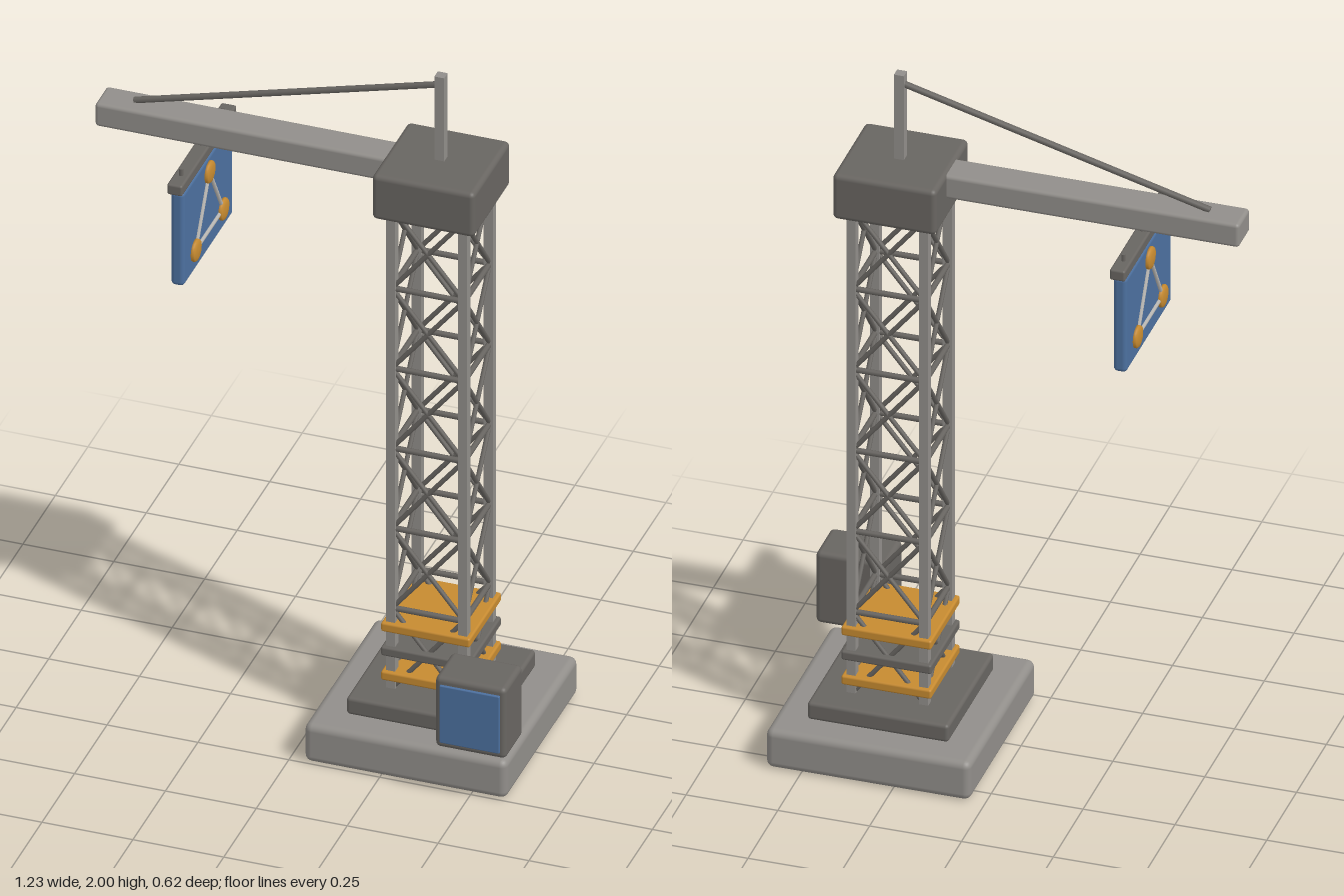
import * as THREE from 'three';
import { RoundedBoxGeometry } from 'three/addons/geometries/RoundedBoxGeometry.js';

const mat = (name, color) => {
  const m = new THREE.MeshStandardMaterial({ color });
  m.name = name;
  return m;
};

export function createModel() {
  const model = new THREE.Group();
  model.name = 'towerCrane';
  const grey = mat('concreteGrey', 0x918e8a);
  const dark = mat('darkSteel', 0x686561);
  const blue = mat('panelBlue', 0x4c709f);
  const orange = mat('safetyOrange', 0xc68a30);
  const silver = mat('lightSteel', 0xb8b6b2);

  const CX = 0.318, CZ = -0.031; // tower axis

  const add = (parent, name, geometry, material, x = 0, y = 0, z = 0) => {
    const mesh = new THREE.Mesh(geometry, material);
    mesh.name = name;
    mesh.position.set(x, y, z);
    parent.add(mesh);
    return mesh;
  };
  // Softened block given by centre and size
  const block = (parent, name, material, [x, y, z], [w, h, d], r = 0.01) =>
    add(parent, name, new RoundedBoxGeometry(w, h, d, 3, r), material, x, y, z);
  // Round bar between two points
  const rod = (parent, name, material, a, b, r, sides = 8) => {
    const from = new THREE.Vector3(...a), to = new THREE.Vector3(...b);
    const dir = to.clone().sub(from);
    const mesh = add(parent, name, new THREE.CylinderGeometry(r, r, dir.length(), sides), material);
    mesh.position.copy(from).add(to).multiplyScalar(0.5);
    mesh.quaternion.setFromUnitVectors(new THREE.Vector3(0, 1, 0), dir.normalize());
    return mesh;
  };

  // Foundation
  block(model, 'base', grey, [CX, 0.0575, CZ], [0.557, 0.115, 0.557], 0.02);
  block(model, 'plinth', dark, [CX, 0.139, CZ], [0.385, 0.052, 0.385], 0.01);

  // Lattice tower: four legs, then bracing on each of the four faces
  const tower = new THREE.Group();
  tower.name = 'tower';
  tower.position.set(CX, 0, CZ);
  model.add(tower);
  const H = 0.099, Y0 = 0.16, STEP = 0.245, PANELS = 6;
  for (const sx of [-1, 1]) for (const sz of [-1, 1])
    add(tower, 'towerLeg', new THREE.BoxGeometry(0.025, 1.48, 0.025), grey, sx * H, 0.89, sz * H);
  for (let side = 0; side < 4; side++) {
    const face = new THREE.Group();
    face.name = 'towerFace';
    face.rotation.y = side * Math.PI / 2;
    tower.add(face);
    for (let i = 0; i < PANELS; i++) {
      const lo = Y0 + i * STEP, hi = lo + STEP;
      if (i > 0) rod(face, 'crossBar', dark, [-H, lo, H], [H, lo, H], 0.008);
      rod(face, 'brace', dark, [-H, lo, H], [H, hi, H], 0.0065);
      rod(face, 'brace', dark, [H, lo, H], [-H, hi, H], 0.0065);
    }
  }

  // Bands around the foot of the tower
  [[0.205, orange], [0.28, dark], [0.354, orange]].forEach(([y, m]) =>
    block(tower, 'towerBand', m, [0, y, 0], [0.245, 0.027, 0.245], 0.006));

  // Head, jib, mast and stay
  block(model, 'towerHead', dark, [CX, 1.678, CZ], [0.282, 0.135, 0.282], 0.014);
  block(model, 'jib', grey, [-0.194, 1.705, CZ], [0.848, 0.07, 0.094], 0.01);
  add(model, 'mast', new THREE.BoxGeometry(0.027, 0.27, 0.027), grey, CX, 1.865, CZ);
  rod(model, 'stay', dark, [CX - 0.005, 1.97, CZ], [-0.525, 1.743, CZ], 0.009);

  // Hanging sign
  const sign = new THREE.Group();
  sign.name = 'hangingSign';
  sign.position.set(-0.34, 0, CZ);
  model.add(sign);
  block(sign, 'signBoard', blue, [0, 1.468, 0], [0.037, 0.286, 0.382], 0.012);
  block(sign, 'hangerBar', dark, [0, 1.63, 0], [0.042, 0.032, 0.422], 0.006);
  for (const s of [-1, 1])
    rod(sign, 'hangerPin', dark, [0, 1.64, s * 0.157], [0, 1.666, s * 0.157], 0.006);
  rod(sign, 'hangerPost', dark, [0, 1.64, 0], [0, 1.68, 0], 0.006);

  // Triangle of knobs joined by links, on both faces of the sign
  const corners = [[1.567, 0], [1.39, 0.106], [1.39, -0.106]];
  const knobProfile = [[0, 0], [0.031, 0], [0.031, 0.009], [0.028, 0.013], [0.018, 0.016], [0, 0.017]]
    .map(([r, h]) => new THREE.Vector2(r, h));
  for (const s of [-1, 1]) corners.forEach(([y, z], i) => {
    const knob = add(sign, 'signKnob', new THREE.LatheGeometry(knobProfile, 24), orange, s * 0.015, y, z);
    knob.rotation.z = -s * Math.PI / 2;
    const [y2, z2] = corners[(i + 1) % 3];
    rod(sign, 'signLink', silver, [s * 0.02, y, z], [s * 0.02, y2, z2], 0.006);
  });

  // Control cabinet with a front panel
  block(model, 'controlBox', dark, [0.517, 0.267, 0.234], [0.195, 0.215, 0.134], 0.014);
  block(model, 'controlPanel', blue, [0.517, 0.267, 0.304], [0.165, 0.175, 0.009], 0.003);

  return model;
}
